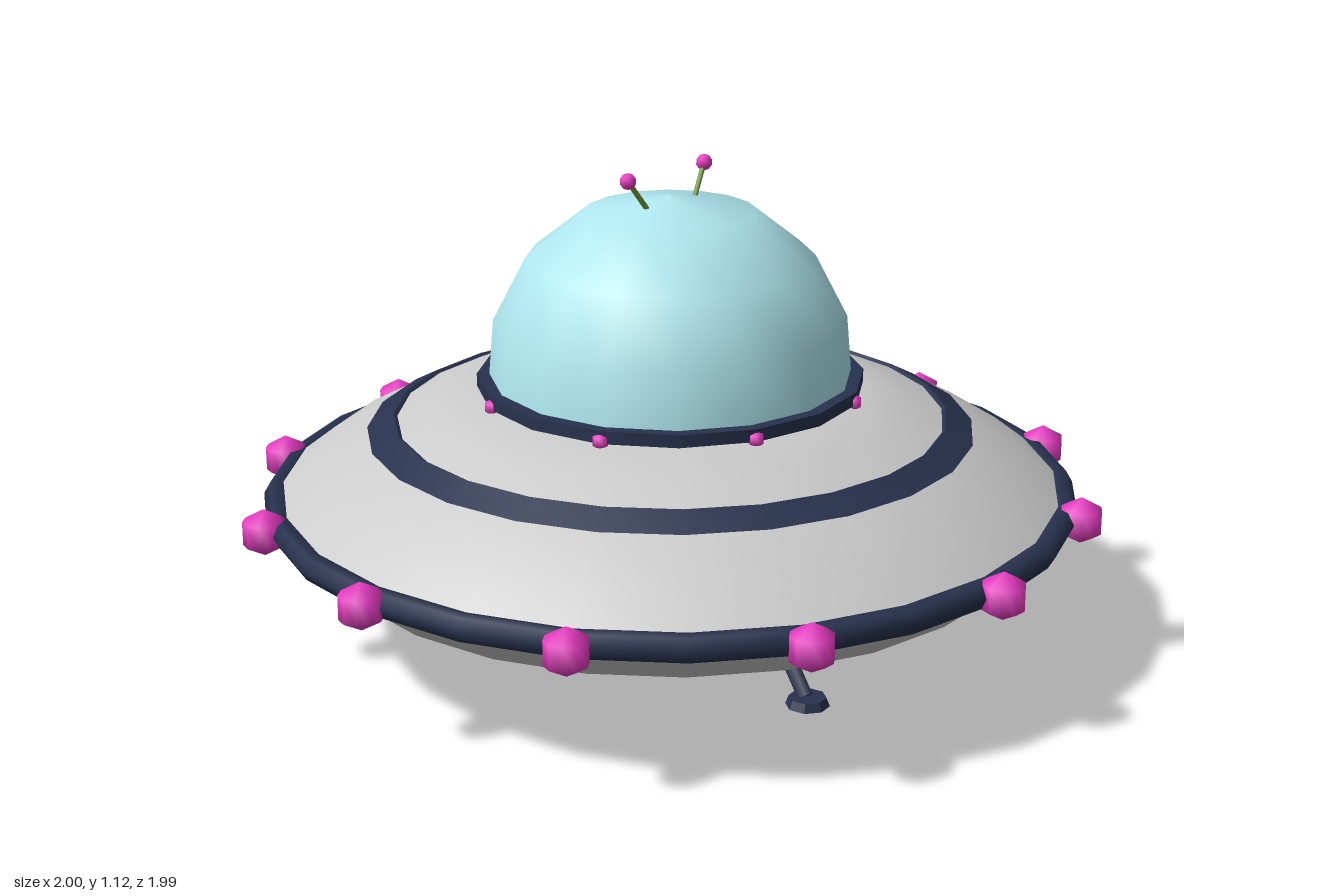
import * as THREE from 'three';
import { toCreasedNormals } from 'three/addons/utils/BufferGeometryUtils.js';

const material = (color) => new THREE.MeshStandardMaterial({ color });
const GREY = material(0xcccccc);
const NAVY = material(0x28324e);
const PINK = material(0xe83cc4);
const CYAN = material(0xaee6ee);
const GREEN = material(0x6f9a3c);

export function createModel() {
  const model = new THREE.Group();

  const add = (name, geometry, mat, parent = model) => {
    const mesh = new THREE.Mesh(geometry, mat);
    mesh.name = name;
    parent.add(mesh);
    return mesh;
  };
  // Profiles run from bottom to top as [radius, height]
  const lathe = (points, sides) =>
    new THREE.LatheGeometry(points.map(([r, y]) => new THREE.Vector2(r, y)), sides);
  const sharpLathe = (points, sides) => toCreasedNormals(lathe(points, sides), 0.5);
  // Straight rod between two points
  const rod = (name, a, b, radius, sides, mat, parent) => {
    const dir = b.clone().sub(a);
    const mesh = add(name, new THREE.CylinderGeometry(radius, radius, dir.length(), sides), mat, parent);
    mesh.position.copy(a).add(b).multiplyScalar(0.5);
    mesh.quaternion.setFromUnitVectors(new THREE.Vector3(0, 1, 0), dir.normalize());
  };

  // Saucer body: lower bowl and upper shell
  add('lowerHull', lathe([[0, 0.05], [0.2, 0.06], [0.55, 0.135], [0.8, 0.23], [0.935, 0.345]], 24), GREY);
  add('upperHull', lathe([[0.935, 0.345], [0.82, 0.435], [0.69, 0.505], [0.55, 0.568], [0.42, 0.605], [0, 0.63]], 24), GREY);
  add('bellyDisc', lathe([[0, 0.04], [0.17, 0.043], [0.245, 0.066], [0.24, 0.075]], 24), NAVY);

  // Dark bands around the saucer
  const rim = add('rimBand', new THREE.TorusGeometry(0.913, 0.031, 6, 24), NAVY);
  rim.rotation.x = Math.PI / 2;
  rim.position.y = 0.347;
  add('middleBand', sharpLathe([[0.66, 0.495], [0.7, 0.505], [0.638, 0.538], [0.62, 0.525]], 24), NAVY);
  add('domeCollar', sharpLathe([[0.4, 0.603], [0.445, 0.603], [0.445, 0.632], [0.4, 0.632]], 16), NAVY);

  // Glass dome
  add('dome', lathe([[0.418, 0.61], [0.405, 0.76], [0.33, 0.905], [0.195, 1.012], [0, 1.048]], 16), CYAN);

  // Rings of lamps
  const lampRing = (name, count, radius, y, offset, size) => {
    const geometry = new THREE.SphereGeometry(size, 10, 3);
    for (let i = 0; i < count; i++) {
      const angle = ((i + offset) / count) * Math.PI * 2;
      add(name, geometry, PINK).position.set(Math.sin(angle) * radius, y, Math.cos(angle) * radius);
    }
  };
  lampRing('rimLamp', 12, 0.95, 0.346, 0, 0.055);
  lampRing('collarLamp', 8, 0.438, 0.608, 0.5, 0.02);

  // Two antennae with round tips
  for (const side of [-1, 1]) {
    const antenna = new THREE.Group();
    antenna.name = side > 0 ? 'leftAntenna' : 'rightAntenna';
    const tip = new THREE.Vector3(side * 0.126, 1.1, -0.012);
    rod('antennaStalk', new THREE.Vector3(side * 0.072, 1.02, 0.004), tip, 0.006, 6, GREEN, antenna);
    add('antennaTip', new THREE.SphereGeometry(0.019, 8, 5), PINK, antenna).position.copy(tip);
    model.add(antenna);
  }

  // Three splayed legs with flat feet
  for (let i = 0; i < 3; i++) {
    const leg = new THREE.Group();
    leg.name = 'landingLeg';
    rod('strut', new THREE.Vector3(0.53, 0.015, 0), new THREE.Vector3(0.41, 0.145, 0), 0.019, 6, NAVY, leg);
    const foot = toCreasedNormals(new THREE.CylinderGeometry(0.042, 0.05, 0.02, 8), 0.5);
    add('foot', foot, NAVY, leg).position.set(0.538, 0.01, 0);
    leg.rotation.y = THREE.MathUtils.degToRad(17 + i * 120);
    model.add(leg);
  }

  return model;
}
